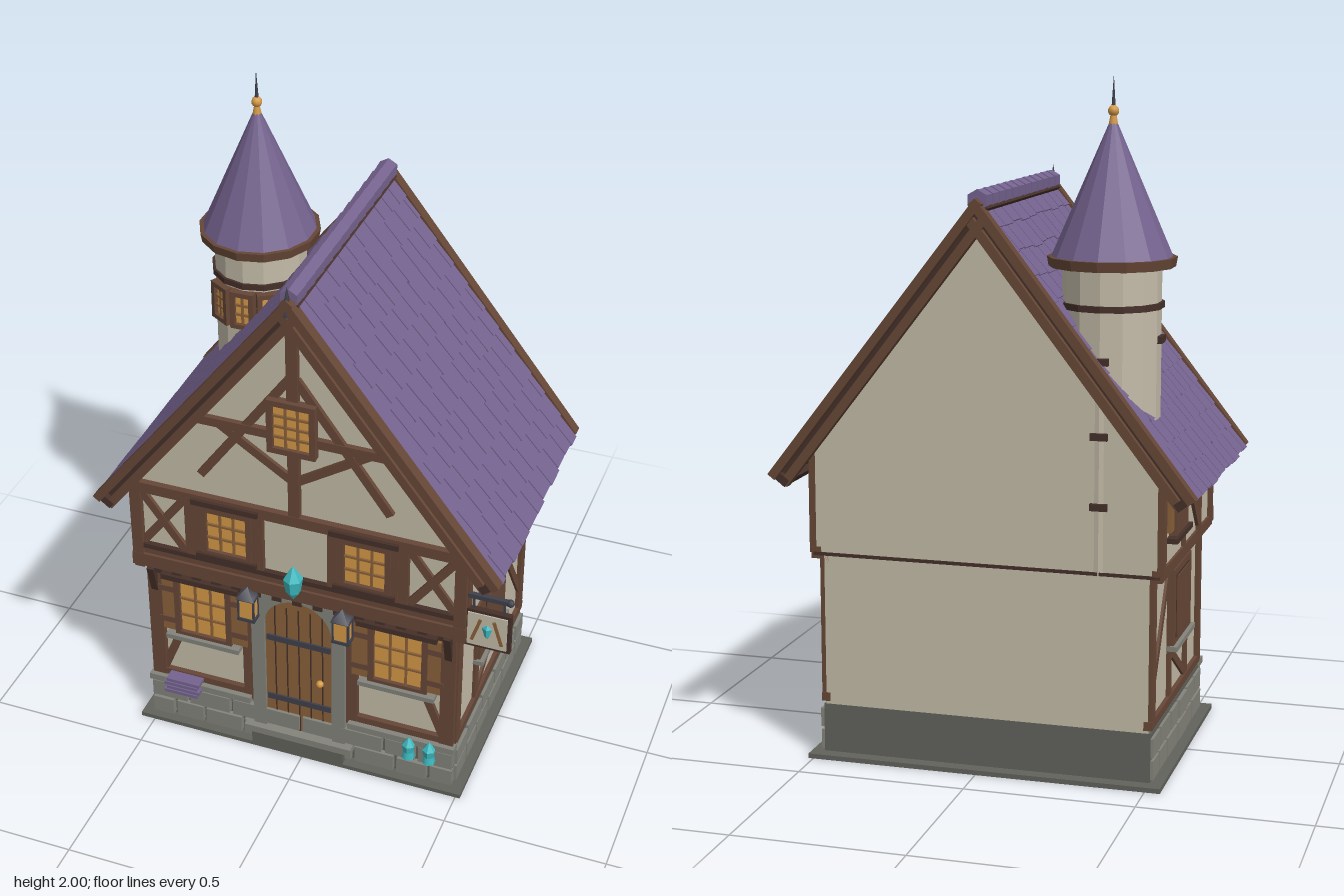
import * as THREE from 'three';

const mat = (name, color) => {
  const m = new THREE.MeshStandardMaterial({ color });
  m.name = name;
  return m;
};

export function createModel() {
  const plaster = mat('plaster', 0xc4bca9), wood = mat('timber', 0x664736), dark = mat('darkTimber', 0x453029),
    oak = mat('oak', 0x8a6139), stone = mat('stone', 0x84847c), mortar = mat('mortar', 0x62625c),
    slate = mat('purpleTile', 0x75638f), glow = mat('amberGlass', 0xd59a48), gem = mat('crystal', 0x3dbac0),
    iron = mat('iron', 0x40404c);
  const model = new THREE.Group();
  const house = new THREE.Group();
  house.name = 'house';
  house.position.x = -0.015;
  model.add(house);

  let seed = 7;
  const rnd = () => (seed = (seed * 16807) % 2147483647) / 2147483647;

  const add = (g, name, geo, m, x, y, z) => {
    const mesh = new THREE.Mesh(geo, m);
    mesh.name = name;
    mesh.position.set(x, y, z);
    g.add(mesh);
    return mesh;
  };
  const box = (g, name, m, x, y, z, w, h, d) => add(g, name, new THREE.BoxGeometry(w, h, d), m, x, y, z);
  // straight timber between two points of a wall plane
  const beam = (g, name, m, x1, y1, x2, y2, w, z, d = 0.02) => {
    const b = box(g, name, m, (x1 + x2) / 2, (y1 + y2) / 2, z, Math.hypot(x2 - x1, y2 - y1), w, d);
    b.rotation.z = Math.atan2(y2 - y1, x2 - x1);
    return b;
  };
  const group = (parent, name) => {
    const g = new THREE.Group();
    g.name = name;
    parent.add(g);
    return g;
  };
  const crystal = (g, x, y, z, r, h) => {
    const geo = new THREE.LatheGeometry([[0, -0.5], [0.75, -0.25], [1, 0.12], [0, 0.5]]
      .map(([a, b]) => new THREE.Vector2(a * r, b * h)), 6).toNonIndexed();
    geo.computeVertexNormals();
    return add(g, 'crystal', geo, gem, x, y, z);
  };
  // glazed window with frame and glazing bars
  const window_ = (g, x, y, z, w, h, cols, rows, f = 0.018) => {
    const win = group(g, 'window');
    win.position.set(x, y, z);
    box(win, 'glass', glow, 0, 0, 0, w, h, 0.009);
    for (const s of [-1, 1]) {
      box(win, 'frameSide', wood, s * (w + f) / 2, 0, 0.004, f, h + 2 * f, 0.026);
      box(win, 'frameRail', wood, 0, s * (h + f) / 2, 0.004, w, f, 0.026);
    }
    for (let i = 1; i < cols; i++) box(win, 'bar', oak, w * (i / cols - 0.5), 0, 0.005, 0.007, h, 0.012);
    for (let i = 1; i < rows; i++) box(win, 'bar', oak, 0, h * (i / rows - 0.5), 0.005, w, 0.007, 0.012);
    return win;
  };

  // Ground slab and stone foundation
  box(house, 'groundSlab', mortar, 0, 0.007, 0.005, 1.06, 0.014, 0.78);
  box(house, 'foundation', mortar, 0, 0.085, 0.005, 0.985, 0.15, 0.7);
  const stones = (g, len, z) => {
    for (let row = 0; row < 2; row++) {
      for (let x = -len / 2; x < len / 2 - 0.01;) {
        let w = 0.08 + rnd() * 0.07;
        if (x + w > len / 2 - 0.05) w = len / 2 - x;
        box(g, 'stoneBlock', stone, x + w / 2, 0.05 + row * 0.066, z, w - 0.012, 0.057, 0.024 + rnd() * 0.008);
        x += w;
      }
    }
  };
  stones(house, 1.0, 0.36);
  for (const s of [-1, 1]) box(house, 'foundationCap', stone, s * 0.33, 0.164, 0.362, 0.34, 0.022, 0.036);

  // Plaster walls and gables
  box(house, 'lowerWall', plaster, 0, 0.39, 0.0, 0.97, 0.46, 0.69);
  const gable = new THREE.Shape([[-0.515, 0.62], [0.515, 0.62], [0.515, 0.93], [0, 1.615], [-0.515, 0.93]]
    .map(p => new THREE.Vector2(...p)));
  add(house, 'upperWall', new THREE.ExtrudeGeometry(gable, { depth: 0.72, bevelEnabled: false }), plaster, 0, 0, -0.35);
  box(house, 'floorSeam', dark, 0, 0.617, 0.015, 1.03, 0.01, 0.735);

  // Front timber framing
  const front = group(house, 'frontFraming');
  box(front, 'jettyBeam', wood, 0, 0.637, 0.375, 1.05, 0.045, 0.03);
  box(front, 'jettyRail', dark, 0, 0.69, 0.375, 1.03, 0.016, 0.024);
  box(front, 'midRail', wood, 0, 0.672, 0.371, 1.03, 0.03, 0.02);
  box(front, 'topBeam', wood, 0, 0.908, 0.375, 1.05, 0.035, 0.03);
  box(front, 'headBeam', wood, 0, 0.6, 0.352, 0.98, 0.03, 0.03);
  box(front, 'sillBeam', wood, 0, 0.185, 0.35, 0.98, 0.025, 0.025);
  for (let i = 0; i < 15; i++) box(front, 'joistEnd', dark, -0.455 + i * 0.065, 0.6, 0.362, 0.03, 0.026, 0.03);
  for (const s of [-1, 1]) {
    box(front, 'cornerPost', wood, s * 0.47, 0.39, 0.35, 0.045, 0.44, 0.03);
    box(front, 'doorPost', wood, s * 0.167, 0.38, 0.35, 0.036, 0.44, 0.026);
    box(front, 'upperCornerPost', wood, s * 0.505, 0.775, 0.375, 0.035, 0.25, 0.028);
    box(front, 'upperPost', wood, s * 0.33, 0.785, 0.374, 0.035, 0.22, 0.024);
    box(front, 'upperPost', wood, s * 0.115, 0.785, 0.374, 0.03, 0.22, 0.024);
    beam(front, 'crossBrace', wood, s * 0.35, 0.7, s * 0.49, 0.89, 0.025, 0.372);
    beam(front, 'crossBrace', wood, s * 0.49, 0.7, s * 0.35, 0.89, 0.025, 0.371);
    beam(front, 'lowBrace', wood, s * 0.46, 0.19, s * 0.4, 0.34, 0.025, 0.348);
    const bracket = box(front, 'jettyBracket', dark, s * 0.47, 0.56, 0.368, 0.022, 0.1, 0.022);
    bracket.rotation.x = 0.25;

    // Ground-floor window with shutters
    window_(front, s * 0.313, 0.465, 0.352, 0.15, 0.19, 3, 3);
    for (const k of [-1, 1]) {
      box(front, 'shutter', oak, s * 0.313 + k * 0.118, 0.465, 0.356, 0.055, 0.2, 0.016);
      for (const dy of [-0.06, 0.06]) box(front, 'shutterBatten', wood, s * 0.313 + k * 0.118, 0.465 + dy, 0.36, 0.055, 0.02, 0.016);
    }
    box(front, 'windowSill', stone, s * 0.313, 0.35, 0.362, 0.24, 0.016, 0.04);
    box(front, 'windowHead', dark, s * 0.313, 0.585, 0.372, 0.25, 0.018, 0.03);

    // First-floor window
    window_(front, s * 0.215, 0.8, 0.374, 0.125, 0.14, 3, 3);
    for (const k of [-1, 1]) box(front, 'upperShutter', wood, s * 0.215 + k * 0.09, 0.795, 0.377, 0.025, 0.19, 0.022);
    box(front, 'upperSill', dark, s * 0.215, 0.712, 0.384, 0.19, 0.016, 0.03);
    box(front, 'upperHead', dark, s * 0.215, 0.905, 0.386, 0.21, 0.018, 0.03);

    // Gable braces
    beam(front, 'gableBrace', wood, s * 0.29, 1.0, s * 0.01, 1.39, 0.026, 0.374);
    beam(front, 'gableBrace', wood, s * 0.23, 1.19, 0, 1.04, 0.026, 0.372);
    beam(front, 'gableEdge', wood, s * 0.5, 0.94, 0, 1.6, 0.03, 0.373);
  }
  box(front, 'kingPost', wood, 0, 1.26, 0.376, 0.034, 0.68, 0.025);
  box(front, 'collarBeam', wood, 0, 1.195, 0.375, 0.6, 0.028, 0.024);
  window_(front, 0, 1.235, 0.386, 0.11, 0.14, 3, 4);

  // Arched door with stone surround and steps
  const arch = (w, h) => {
    const s = new THREE.Shape();
    s.moveTo(-w, 0.08);
    s.lineTo(w, 0.08);
    s.lineTo(w, h - w);
    s.absarc(0, h - w, w, 0, Math.PI);
    s.closePath();
    return s;
  };
  const door = group(house, 'door');
  const surround = new THREE.Shape([[-0.15, 0.08], [0.15, 0.08], [0.15, 0.6], [-0.15, 0.6]].map(p => new THREE.Vector2(...p)));
  surround.holes.push(arch(0.108, 0.605 - 0.01));
  add(door, 'doorSurround', new THREE.ExtrudeGeometry(surround, { depth: 0.04, bevelEnabled: false }), stone, 0, 0, 0.335);
  add(door, 'doorLeaf', new THREE.ExtrudeGeometry(arch(0.108, 0.595), { depth: 0.02, bevelEnabled: false }), oak, 0, 0, 0.345);
  for (let i = -2; i <= 2; i++) box(door, 'plankGap', dark, i * 0.038, 0.32, 0.365, 0.004, 0.48, 0.004);
  for (const y of [0.2, 0.435]) box(door, 'hinge', iron, 0, y, 0.367, 0.205, 0.02, 0.008);
  add(door, 'doorKnob', new THREE.SphereGeometry(0.012, 10, 8), glow, 0.07, 0.3, 0.374);
  box(door, 'step', stone, 0, 0.067, 0.37, 0.35, 0.024, 0.05);
  box(door, 'step', mortar, 0, 0.03, 0.37, 0.3, 0.05, 0.05);

  // Lanterns beside the door
  for (const s of [-1, 1]) {
    const lamp = group(house, 'lantern');
    lamp.position.set(s * 0.15, 0.555, 0.392);
    box(lamp, 'lampGlass', glow, 0, 0, 0, 0.046, 0.07, 0.035);
    for (const k of [-1, 1]) {
      box(lamp, 'lampRim', iron, 0, k * 0.038, 0, 0.056, 0.01, 0.044);
      for (const j of [-1, 1]) box(lamp, 'lampPost', iron, k * 0.024, 0, j * 0.018, 0.006, 0.07, 0.006);
    }
    const cap = add(lamp, 'lampCap', new THREE.ConeGeometry(0.04, 0.035, 4), iron, 0, 0.058, 0);
    cap.geometry.rotateY(Math.PI / 4);
    box(lamp, 'lampArm', iron, 0, 0.045, -0.02, 0.014, 0.014, 0.03);
  }

  // Crystals and stacked tiles
  crystal(house, 0, 0.695, 0.402, 0.03, 0.125);
  for (const x of [0.36, 0.425]) {
    crystal(house, x, 0.15, 0.385, 0.021, 0.075);
    add(house, 'crystalFoot', new THREE.CylinderGeometry(0.016, 0.021, 0.025, 6), gem, x, 0.122, 0.385);
  }
  for (let i = 0; i < 4; i++) box(house, 'stackedTile', slate, -0.385 + (i % 2) * 0.008, 0.143 + i * 0.015, 0.38, 0.11, 0.011, 0.045);

  // Hanging sign
  const sign = group(house, 'hangingSign');
  sign.position.set(0.585, 0.663, 0.365);
  box(sign, 'signFrame', dark, 0, 0, 0, 0.138, 0.135, 0.018);
  box(sign, 'signBoard', plaster, 0, 0, 0, 0.118, 0.115, 0.026);
  for (const s of [-1, 1]) {
    beam(sign, 'signStripe', oak, s * 0.045, -0.04, s * 0.02, 0.04, 0.01, 0, 0.032);
    box(sign, 'signChain', iron, s * 0.045, 0.085, 0, 0.006, 0.04, 0.006);
  }
  crystal(sign, 0, 0, 0, 0.022, 0.085);
  box(sign, 'signArm', iron, -0.005, 0.112, 0, 0.14, 0.014, 0.014);
  add(sign, 'signArmKnob', new THREE.SphereGeometry(0.012, 8, 6), iron, 0.062, 0.112, 0);

  // Side framing, mirrored on both walls
  for (const s of [-1, 1]) {
    const side = group(house, 'sideFraming');
    side.rotation.y = s * Math.PI / 2;
    const B = (name, m, z1, y1, z2, y2, w, out, d) => beam(side, name, m, -s * z1, y1, -s * z2, y2, w, out, d);
    stones(side, 0.7, 0.488);
    box(side, 'sideSill', wood, 0, 0.182, 0.485, 0.7, 0.025, 0.025);
    box(side, 'sideJetty', wood, -s * 0.015, 0.62, 0.507, 0.735, 0.035, 0.03);
    for (const z of [0.33, -0.325]) B('sidePost', wood, z, 0.17, z, 0.61, 0.04, 0.485, 0.026);
    for (const z of [0.14, -0.09]) B('sidePost', wood, z, 0.19, z, 0.61, 0.032, 0.485);
    B('sideBrace', wood, -0.11, 0.575, -0.315, 0.27, 0.026, 0.483);
    B('sideBrace', wood, 0.13, 0.2, -0.08, 0.33, 0.026, 0.483);
    B('sideShutter', wood, 0.15, 0.46, -0.1, 0.46, 0.23, 0.495, 0.02);
    B('sideShutterPanel', dark, 0.115, 0.46, -0.07, 0.46, 0.19, 0.502, 0.008);
    B('sideShutterFace', wood, 0.11, 0.46, -0.065, 0.46, 0.18, 0.503, 0.012);
    B('sideWindowSill', stone, 0.16, 0.34, -0.11, 0.34, 0.015, 0.5, 0.035);
    for (const z of [0.355, 0.17, -0.335]) B('upperSidePost', wood, z, 0.62, z, 0.93, 0.032, 0.517);
    B('upperSideBrace', wood, 0.16, 0.66, 0.02, 0.82, 0.026, 0.515);
    B('upperSideBrace', wood, -0.05, 0.64, -0.05, 0.92, 0.026, 0.515);
    B('upperSideShutter', wood, -0.07, 0.79, -0.235, 0.79, 0.16, 0.525, 0.025);
    B('upperShutterLeaf', oak, -0.235, 0.8, -0.28, 0.8, 0.14, 0.522, 0.016);
    B('upperSideSill', dark, -0.05, 0.705, -0.27, 0.705, 0.015, 0.53, 0.035);
  }

  // Roof slopes with staggered tiles, barge boards and eaves
  const theta = Math.atan2(0.8, 0.62), len = 1.01, rows = 12;
  for (const s of [1, -1]) {
    const half = group(house, 'roofSlope');
    half.position.y = 1.66;
    half.rotation.y = s > 0 ? 0 : Math.PI;
    const slope = group(half, 'slope');
    slope.rotation.z = -theta;
    box(slope, 'roofDeck', dark, len / 2, -0.026, 0, len, 0.02, 0.79);
    for (let r = 0; r < rows; r++) {
      const step = len / rows;
      for (let z = -0.388 - (r % 2) * 0.035; z < 0.387;) {
        const w = 0.055 + rnd() * 0.035, a = Math.max(z, -0.388);
        let b = Math.min(z + w, 0.388);
        if (0.388 - b < 0.025) b = 0.388;
        const l = step + 0.004 + rnd() * 0.012;
        const t = box(slope, 'roofTile', slate, r * step + l / 2, -0.008, (a + b) / 2, l, 0.014, b - a - 0.005);
        t.rotation.z = 0.06;
        z = b;
      }
    }
    for (const z of [-0.404, 0.404]) {
      box(slope, 'bargeBoard', wood, len / 2, -0.008, z, len + 0.01, 0.026, 0.036);
      box(slope, 'bargeBoardLower', wood, len / 2 + 0.01, -0.048, z * 0.985, len - 0.02, 0.026, 0.03);
    }
    box(slope, 'eaveBoard', dark, len - 0.008, -0.038, 0, 0.024, 0.036, 0.83);
  }
  for (let i = 0; i < 12; i++) {
    const cap = add(house, 'ridgeTile', new THREE.CylinderGeometry(0.028, 0.031, 0.064, 6).toNonIndexed(), slate, 0, 1.66, -0.365 + i * 0.0665);
    cap.geometry.computeVertexNormals();
    cap.rotation.x = Math.PI / 2;
  }
  add(house, 'ridgeFinial', new THREE.ConeGeometry(0.016, 0.09, 6), iron, 0, 1.66, 0.41);

  // Round turret rising through the roof
  const turret = group(house, 'turret');
  turret.position.set(-0.338, 0, -0.213);
  const ring = (name, m, r1, r2, y, h) => {
    const geo = new THREE.CylinderGeometry(r1, r2, h, 14).toNonIndexed();
    geo.computeVertexNormals();
    return add(turret, name, geo, m, 0, y, 0);
  };
  ring('turretWall', plaster, 0.14, 0.14, 1.05, 0.88);
  ring('turretBand', dark, 0.148, 0.148, 1.365, 0.018);
  ring('turretEave', wood, 0.183, 0.178, 1.485, 0.028);
  ring('turretRoof', slate, 0.004, 0.172, 1.69, 0.39);
  for (const a of [-0.55, 0, 0.55]) {
    const w = window_(turret, 0.142 * Math.sin(a), 1.285, 0.142 * Math.cos(a), 0.045, 0.095, 2, 3, 0.015);
    w.rotation.y = a;
  }
  for (const [a, y] of [[Math.PI, 0.81], [Math.PI, 1.01], [Math.PI, 1.22], [-1.57, 1.27]]) {
    const b = box(turret, 'wallBlock', dark, 0.14 * Math.sin(a), y, 0.14 * Math.cos(a), 0.05, 0.02, 0.02);
    b.rotation.y = a;
  }
  add(turret, 'finialBall', new THREE.SphereGeometry(0.016, 10, 8), glow, 0, 1.9, 0);
  add(turret, 'finialCollar', new THREE.CylinderGeometry(0.008, 0.014, 0.03, 8), glow, 0, 1.876, 0);
  add(turret, 'finialSpike', new THREE.ConeGeometry(0.006, 0.09, 6), iron, 0, 1.955, 0);

  return model;
}
